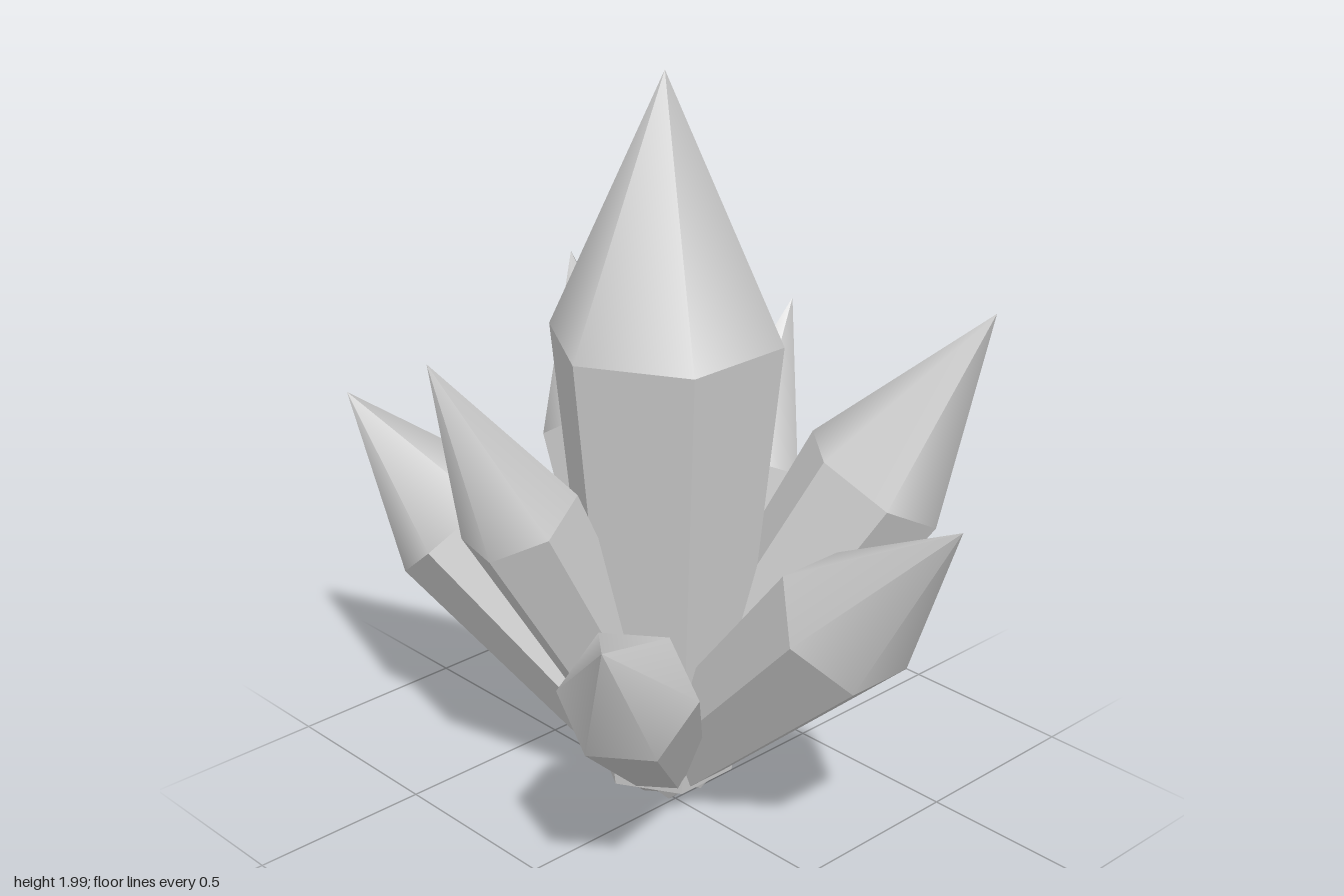
import * as THREE from 'three';

// Common root from which every crystal grows
const ROOT = new THREE.Vector3(0.04, 0.08, -0.08);
const BODY_SHARE = 0.645; // part of the length taken by the prism
const TAPER = 0.6;        // foot radius relative to shoulder radius

// name, tip x, y, z, shoulder radius
const CRYSTALS = [
  ['centreCrystal', 0.04, 2.0, -0.08, 0.31],
  ['frontCrystal', 0.04, 1.11, 0.91, 0.193],
  ['frontLeftCrystal', 0.70, 1.35, 0.45, 0.207],
  ['frontRightCrystal', -0.71, 0.92, 0.51, 0.175],
  ['leftCrystal', 0.65, 1.23, -0.22, 0.16],
  ['rightCrystal', -0.60, 1.37, -0.23, 0.161],
  ['backLeftCrystal', 0.43, 1.25, -0.89, 0.176],
  ['backRightCrystal', -0.36, 1.03, -0.91, 0.2],
];

export function createModel() {
  const model = new THREE.Group();
  model.name = 'crystalCluster';
  const facetMaterial = new THREE.MeshStandardMaterial({ color: 0xcccccc, flatShading: true });
  const tipMaterial = new THREE.MeshStandardMaterial({ color: 0xcccccc });

  for (const [name, x, y, z, radius] of CRYSTALS) {
    const axis = new THREE.Vector3(x, y, z).sub(ROOT);
    const length = axis.length();
    const bodyLength = length * BODY_SHARE;
    const tipLength = length - bodyLength;

    const crystal = new THREE.Group();
    crystal.name = name;

    // Tapered six-sided prism, two corners on the local x axis
    const body = new THREE.Mesh(
      new THREE.CylinderGeometry(radius, radius * TAPER, bodyLength, 6, 1, false, Math.PI / 6),
      facetMaterial);
    body.name = 'body';
    body.position.y = bodyLength / 2;

    // Smooth-shaded six-sided point
    const tip = new THREE.Mesh(
      new THREE.ConeGeometry(radius, tipLength, 6, 1, false, Math.PI / 6),
      tipMaterial);
    tip.name = 'tip';
    tip.position.y = bodyLength + tipLength / 2;

    crystal.add(body, tip);

    // Turn towards the tip, then lean outwards
    const reach = Math.hypot(axis.x, axis.z);
    crystal.rotation.set(Math.atan2(reach, axis.y), Math.atan2(axis.x, axis.z), 0, 'YXZ');
    if (reach < 1e-6) crystal.rotation.set(0, 0, 0);
    crystal.position.copy(ROOT);
    model.add(crystal);
  }
  return model;
}
